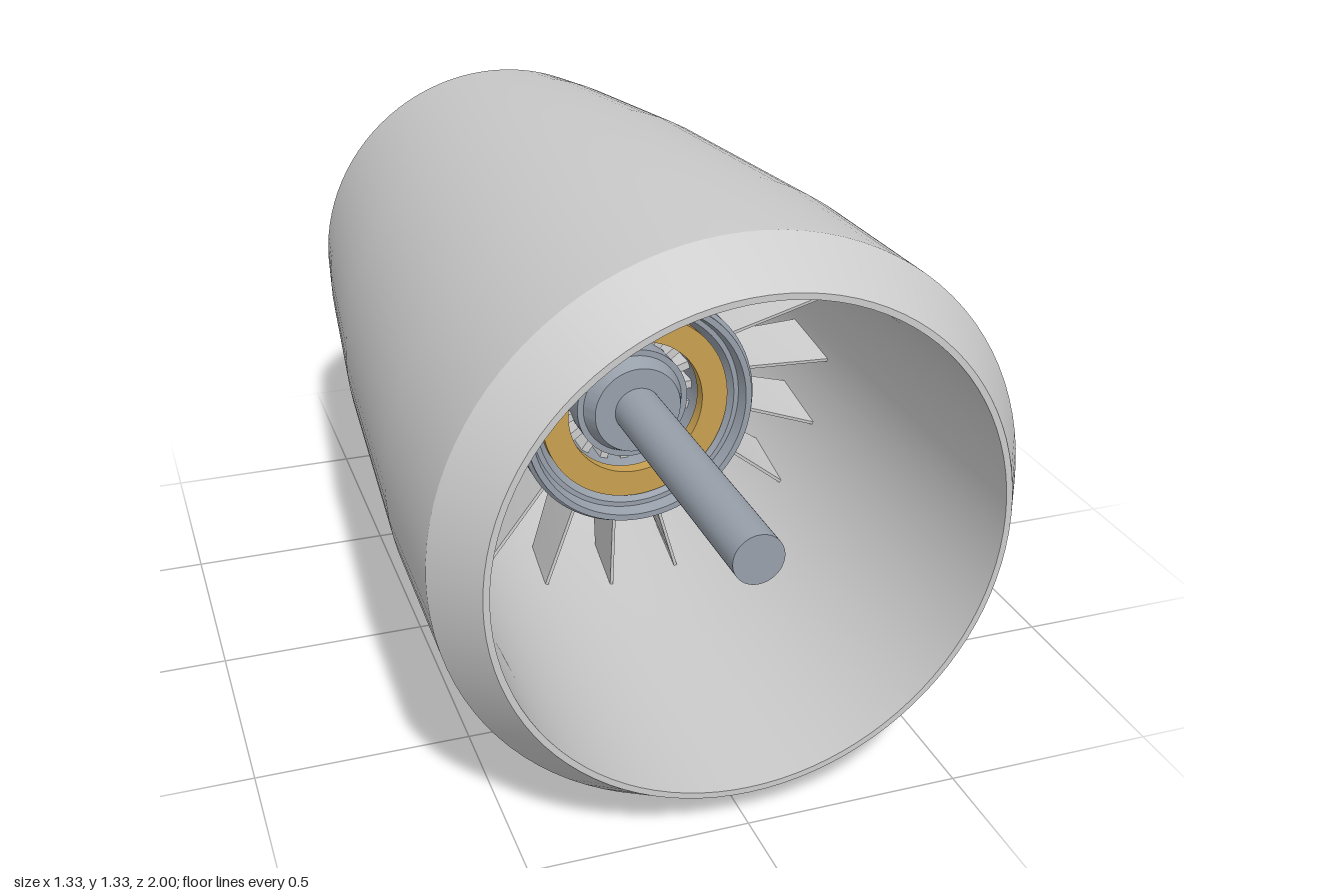
import * as THREE from 'three';
import { toCreasedNormals } from 'three/addons/utils/BufferGeometryUtils.js';

const material = (color) => new THREE.MeshStandardMaterial({ color });
const grey = material(0xcccccc);
const steel = material(0x979faa);
const gold = material(0xc8a050);

// Closed ring turned around the z axis; points are [radius, z], outside listed back to front
function turned(name, points, mat, segments = 96) {
  const profile = [...points, points[0]].map(([r, z]) => new THREE.Vector2(r, z));
  const geometry = new THREE.LatheGeometry(profile, segments).rotateX(Math.PI / 2);
  const mesh = new THREE.Mesh(toCreasedNormals(geometry, 0.35), mat);
  mesh.name = name;
  return mesh;
}

// Slightly twisted blade standing between two radii, growing in chord toward the tip
function bladeGeometry(r0, r1, thickness, chord0, chord1, twist0, twist1) {
  const geometry = new THREE.BoxGeometry(1, 1, 1, 1, 6, 1);
  const p = geometry.attributes.position;
  for (let i = 0; i < p.count; i++) {
    const t = p.getY(i) + 0.5;
    const x = p.getX(i) * thickness;
    const z = p.getZ(i) * THREE.MathUtils.lerp(chord0, chord1, t);
    const a = THREE.MathUtils.lerp(twist0, twist1, t);
    p.setXYZ(i, x * Math.cos(a) + z * Math.sin(a), THREE.MathUtils.lerp(r0, r1, t), z * Math.cos(a) - x * Math.sin(a));
  }
  return toCreasedNormals(geometry, 0.4);
}

function bladeRing(name, geometry, mat, count, z) {
  const ring = new THREE.Group();
  ring.name = name;
  for (let i = 0; i < count; i++) {
    const blade = new THREE.Mesh(geometry, mat);
    blade.name = name + 'Blade';
    blade.rotation.z = (i / count) * Math.PI * 2;
    ring.add(blade);
  }
  ring.position.z = z;
  return ring;
}

export function createModel() {
  const engine = new THREE.Group();
  engine.name = 'jetEngine';

  // Outer shell with a bevelled intake lip and a tapering tail
  engine.add(turned('nacelle', [
    [0.513, -1], [0.545, -0.78], [0.606, -0.25], [0.656, 0.45], [0.663, 0.87], [0.58, 1],
    [0.566, 1], [0.568, 0.4], [0.568, -0.1], [0.54, -0.6], [0.502, -1],
  ], grey));

  // Core casing with stepped rims at both ends, open through the middle
  engine.add(turned('coreCasing', [
    [0.235, -0.23], [0.27, -0.25], [0.285, -0.25], [0.295, -0.23],
    [0.295, 0.26], [0.285, 0.27], [0.285, 0.28], [0.27, 0.28], [0.262, 0.25],
    [0.25, 0.25], [0.235, 0.22], [0.175, 0.22], [0.175, -0.18], [0.235, -0.18],
  ], steel));
  engine.add(turned('goldRing', [
    [0.235, 0.21], [0.235, 0.245], [0.17, 0.245], [0.17, 0.21],
  ], gold));

  // Bevelled hub on a through shaft
  engine.add(turned('hub', [
    [0.05, -0.24], [0.108, -0.24], [0.125, -0.2], [0.14, -0.2],
    [0.14, 0.22], [0.125, 0.22], [0.108, 0.26], [0.05, 0.26],
  ], steel));
  const shaft = new THREE.Mesh(new THREE.CylinderGeometry(0.058, 0.058, 2, 48).rotateX(Math.PI / 2), steel);
  shaft.name = 'shaft';
  engine.add(shaft);

  // Fan blades to the shell and short vanes inside the core
  engine.add(bladeRing('fan', bladeGeometry(0.285, 0.568, 0.008, 0.2, 0.21, 0.03, 0.13), grey, 20, 0));
  engine.add(bladeRing('innerVanes', bladeGeometry(0.135, 0.18, 0.02, 0.12, 0.12, 0, 0), grey, 20, 0.1));

  engine.position.y = 0.665;
  const model = new THREE.Group();
  model.name = 'model';
  model.add(engine);
  return model;
}
